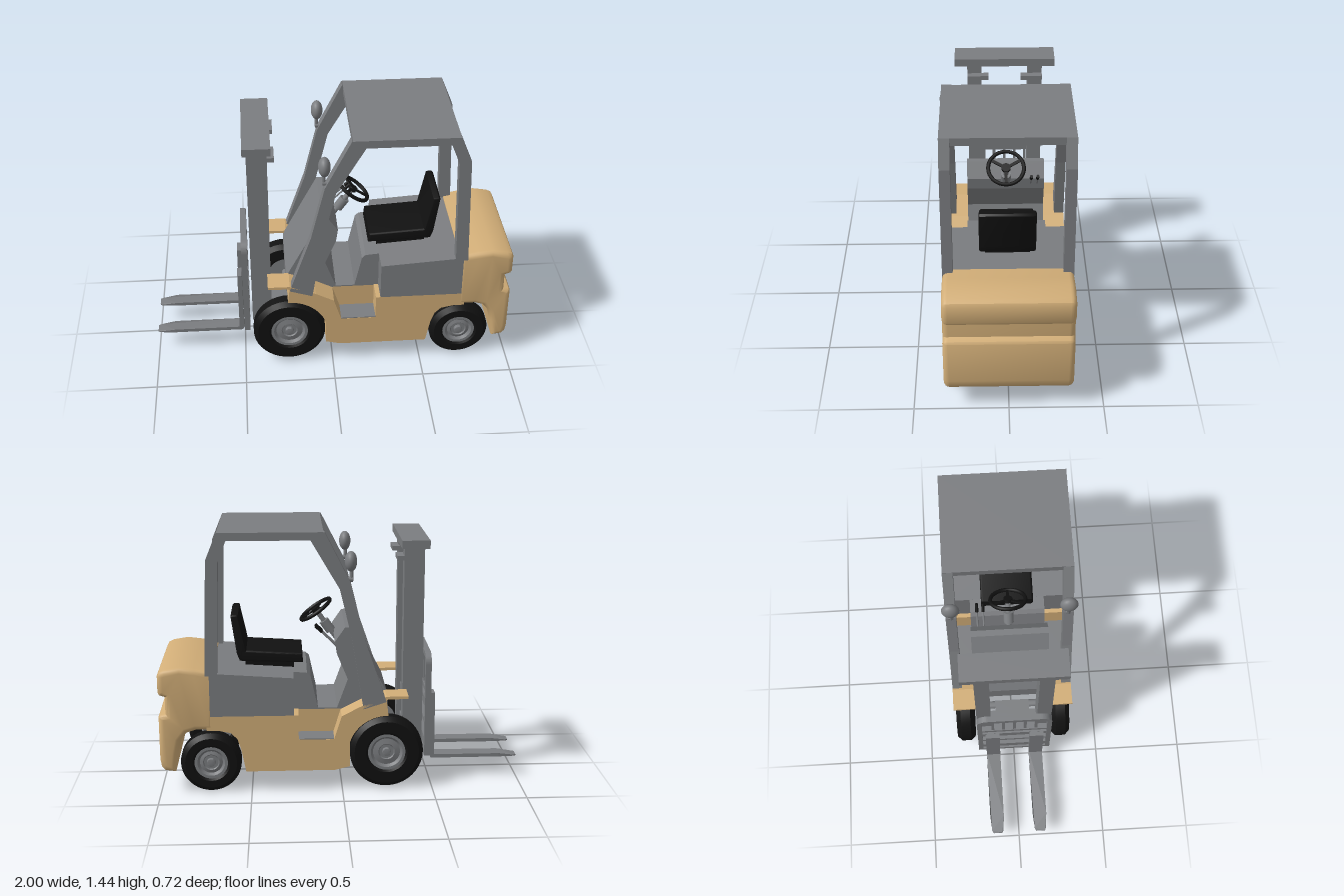
import * as THREE from 'three';
import { toCreasedNormals } from 'three/addons/utils/BufferGeometryUtils.js';

const mat = (name, color) => {
  const m = new THREE.MeshStandardMaterial({ color });
  m.name = name;
  return m;
};

export function createModel() {
  const tan = mat('tan paint', 0xd2ae78);
  const grey = mat('grey metal', 0x7b7d80);
  const black = mat('black rubber', 0x111111);
  const root = new THREE.Group();
  root.name = 'forklift';

  const add = (name, geo, material) => {
    const m = new THREE.Mesh(geo, material);
    m.name = name;
    root.add(m);
    return m;
  };
  // Box given by its extents
  const box = (name, material, x0, x1, y0, y1, z0, z1) => add(name,
    new THREE.BoxGeometry(x1 - x0, y1 - y0, z1 - z0)
      .translate((x0 + x1) / 2, (y0 + y1) / 2, (z0 + z1) / 2), material);
  // Side profile extruded across z, optionally with rounded sides
  const prism = (name, material, pts, z0, z1, bevel = 0) => {
    const shape = new THREE.Shape(pts.map(p => new THREE.Vector2(...p)));
    let g = new THREE.ExtrudeGeometry(shape, {
      depth: z1 - z0 - 2 * bevel, bevelEnabled: bevel > 0, bevelThickness: bevel,
      bevelSize: bevel, bevelOffset: -bevel, bevelSegments: 4,
    }).translate(0, 0, z0 + bevel);
    if (bevel) g = toCreasedNormals(g, 0.6);
    return add(name, g, material);
  };
  // Same, once on each side
  const sidePrism = (name, material, pts, z0, z1, bevel) => {
    prism(name + 'Left', material, pts, z0, z1, bevel);
    prism(name + 'Right', material, pts, -z1, -z0, bevel);
  };
  const rod = (name, material, a, b, r) => {
    const p = new THREE.Vector3(...a), q = new THREE.Vector3(...b);
    const m = add(name, new THREE.CylinderGeometry(r, r, p.distanceTo(q), 12), material);
    m.position.copy(p).lerp(q, 0.5);
    m.quaternion.setFromUnitVectors(new THREE.Vector3(0, 1, 0), q.sub(p).normalize());
    return m;
  };
  const arc = (cx, cy, r, a0, a1, n) => Array.from({ length: n + 1 }, (_, i) => {
    const a = a0 + (a1 - a0) * i / n;
    return [cx + r * Math.cos(a), cy + r * Math.sin(a)];
  });

  // Chassis with the step cut out and half of the rear wheel arch
  prism('chassis', tan, [[-0.04, 0.14], [0.04, 0.12], [0.53, 0.12], [0.555, 0.25], [0.575, 0.31],
    [0.61, 0.345], [0.68, 0.36], [0.74, 0.36], [0.74, 0.44], [0.24, 0.44], [0.24, 0.3],
    [0.04, 0.3], [-0.04, 0.3]], -0.338, 0.338);
  box('floorBlock', tan, -0.04, 0.25, 0.29, 0.435, -0.215, 0.215);
  box('floorMat', grey, -0.04, 0.25, 0.435, 0.442, -0.215, 0.215);

  // Rear counterweight with grooved back
  prism('counterweight', tan, [[0.7, 0.36], [0.8, 0.36], [0.85, 0.345], [0.885, 0.3], [0.9, 0.23],
    [0.915, 0.12], [0.975, 0.13], [0.993, 0.15], [1, 0.19], [1, 0.435], [0.992, 0.447], [0.962, 0.455],
    [0.962, 0.55], [0.992, 0.56], [1, 0.575], [1, 0.67], [0.99, 0.69], [0.965, 0.703], [0.88, 0.717],
    [0.8, 0.707], [0.7, 0.688]], -0.34, 0.34, 0.03);

  // Front fenders, steps
  sidePrism('fenderSide', tan, [...arc(-0.245, 0.215, 0.215, 1.6, 0, 12), [-0.03, 0.14], [0.04, 0.14],
    [0.04, 0.3], [0, 0.425], [-0.1, 0.475], [-0.24, 0.527]], 0.21, 0.339);
  sidePrism('fenderTop', tan, [[-0.36, 0.526], [-0.25, 0.524], [-0.1, 0.468], [-0.005, 0.42], [0.036, 0.3],
    [0.046, 0.3], [0.005, 0.432], [-0.095, 0.484], [-0.24, 0.54], [-0.36, 0.541]], 0.21, 0.34);
  for (const s of [-1, 1])
    box('stepPlate', grey, 0.046, 0.24, 0.298, 0.305, s > 0 ? 0.215 : -0.337, s > 0 ? 0.337 : -0.215);

  // Dashboard cowl
  prism('cowl', grey, [[-0.255, 0.42], [-0.255, 0.52], [-0.055, 0.9], [-0.02, 0.9], [0.035, 0.82],
    [0.025, 0.75], [-0.035, 0.605], [0.025, 0.44], [-0.03, 0.42]], -0.215, 0.215);

  // Engine box under the seat
  prism('engineBox', grey, [[0.265, 0.44], [0.74, 0.44], [0.74, 0.685], [0.265, 0.652]], -0.338, 0.338);
  prism('engineBoxFront', grey, [[0.13, 0.44], [0.27, 0.44], [0.27, 0.652], [0.19, 0.645], [0.17, 0.625]],
    -0.215, 0.215);

  // Seat
  box('seatBase', black, 0.26, 0.53, 0.65, 0.69, -0.12, 0.12);
  prism('seatCushion', black, [[0.21, 0.685], [0.55, 0.695], [0.56, 0.76], [0.215, 0.738]], -0.15, 0.15, 0.012);
  prism('seatBack', black, [[0.51, 0.7], [0.56, 0.7], [0.575, 0.74], [0.605, 0.95], [0.595, 0.96],
    [0.565, 0.958]], -0.15, 0.15, 0.01);

  // Overhead guard
  box('roof', grey, 0.1, 0.66, 1.403, 1.446, -0.34, 0.34);
  sidePrism('frontPillar', grey, [[-0.24, 0.51], [-0.12, 0.86], [-0.045, 1.17], [0.095, 1.446],
    [0.17, 1.405], [0.015, 1.14], [-0.05, 0.87], [-0.115, 0.47]], 0.285, 0.34);
  sidePrism('rearPillar', grey, [[0.66, 1.446], [0.72, 1.3], [0.743, 0.67], [0.675, 0.67],
    [0.656, 1.29], [0.61, 1.405]], 0.285, 0.34);

  // Lamps on the front pillars
  for (const s of [-1, 1]) {
    const lamp = add('lamp', new THREE.SphereGeometry(1, 20, 14), grey);
    lamp.scale.set(0.033, 0.055, 0.048);
    lamp.position.set(-0.045, 1.285, s * 0.31);
    rod('lampPost', grey, [-0.048, 1.18, s * 0.31], [-0.048, 1.25, s * 0.31], 0.01);
    rod('lampArm', grey, [-0.055, 1.188, s * 0.31], [0.015, 1.188, s * 0.31], 0.014);
  }

  // Steering wheel, column and levers
  const wheel = new THREE.Group();
  wheel.name = 'steeringWheel';
  const part = (name, geo) => {
    const m = new THREE.Mesh(geo, black);
    m.name = name;
    wheel.add(m);
  };
  part('rim', new THREE.TorusGeometry(0.098, 0.011, 8, 32).rotateX(Math.PI / 2));
  part('hub', new THREE.CylinderGeometry(0.025, 0.025, 0.02, 16));
  for (let i = 0; i < 3; i++)
    part('spoke', new THREE.BoxGeometry(0.09, 0.008, 0.016).translate(0.05, 0, 0).rotateY(i * Math.PI * 2 / 3));
  wheel.position.set(0.135, 0.952, 0);
  wheel.rotation.z = -0.61;
  root.add(wheel);
  rod('steeringColumn', grey, [0.0, 0.76, 0], [0.13, 0.945, 0], 0.014);
  rod('columnCollar', grey, [0.05, 0.83, 0], [0.09, 0.887, 0], 0.028);
  for (const z of [-0.175, -0.14]) {
    rod('leverRod', grey, [0.01, 0.77, z], [0.12, 0.88, z], 0.005);
    rod('leverKnob', black, [0.105, 0.865, z], [0.14, 0.9, z], 0.009);
  }

  // Mast
  for (const s of [-1, 1]) {
    const [a, b] = s > 0 ? [0.13, 0.21] : [-0.21, -0.13];
    box('mastRail', grey, -0.45, -0.34, 0.22, 1.345, a, b);
    const [c, d] = s > 0 ? [0.09, 0.21] : [-0.21, -0.09];
    box('mastBracket', grey, -0.345, -0.302, 1.265, 1.29, c, d);
  }
  box('mastTop', grey, -0.47, -0.32, 1.342, 1.386, -0.28, 0.28);
  for (const y of [0.24, 0.42]) box('mastCrossbar', grey, -0.42, -0.36, y, y + 0.06, -0.14, 0.14);
  box('mastMount', grey, -0.35, -0.24, 0.24, 0.28, -0.1, 0.1);

  // Load backrest: rounded frame with bars
  const frame = (w, y0, y1, r, P) => {
    const s = new P();
    s.moveTo(-w, y0).lineTo(w, y0).lineTo(w, y1 - r).absarc(w - r, y1 - r, r, 0, Math.PI / 2);
    s.lineTo(-w + r, y1).absarc(-w + r, y1 - r, r, Math.PI / 2, Math.PI).lineTo(-w, y0);
    return s;
  };
  const rest = frame(0.21, 0.145, 0.74, 0.06, THREE.Shape);
  rest.holes.push(frame(0.183, 0.17, 0.713, 0.04, THREE.Path));
  add('backrestFrame', new THREE.ExtrudeGeometry(rest, { depth: 0.033, bevelEnabled: false, curveSegments: 6 })
    .rotateY(Math.PI / 2).translate(-0.5, 0, 0), grey);
  for (const [y, h] of [[0.2, 0.05], [0.33, 0.025], [0.43, 0.05], [0.52, 0.025]])
    box('carriageBar', grey, -0.497, -0.468, y, y + h, -0.19, 0.19);
  for (let i = -2; i <= 2; i++)
    box('backrestBar', grey, -0.492, -0.474, 0.53, 0.72, i * 0.061 - 0.008, i * 0.061 + 0.008);

  // Forks: tapered tines and upright shanks
  for (const s of [-1, 1]) {
    const tine = new THREE.Shape([[-1, -0.025], [-0.985, -0.033], [-0.9, -0.04], [-0.51, -0.04],
      [-0.51, 0.04], [-0.9, 0.04], [-0.985, 0.033], [-1, 0.025]].map(p => new THREE.Vector2(...p)));
    const g = new THREE.ExtrudeGeometry(tine, { depth: 0.02, bevelEnabled: false })
      .rotateX(-Math.PI / 2).translate(0, 0.115, s * 0.125);
    const p = g.attributes.position;
    for (let i = 0; i < p.count; i++)
      if (p.getX(i) < -0.95 && p.getY(i) > 0.13) p.setY(i, 0.122);
    g.computeVertexNormals();
    add('forkTine', g, grey);
    prism('forkShank', grey, [[-0.53, 0.125], [-0.515, 0.115], [-0.503, 0.13], [-0.503, 0.5], [-0.528, 0.5]],
      s * 0.125 - 0.04, s * 0.125 + 0.04);
  }

  // Wheels: tyre, dished rim and hub cap, joined by axles
  const lathe = pts => toCreasedNormals(new THREE.LatheGeometry(
    pts.map(p => new THREE.Vector2(...p)), 40).rotateX(Math.PI / 2), 0.5);
  for (const [x, y, R, r, z] of [[-0.245, 0.213, 0.203, 0.1, 0.278], [0.722, 0.168, 0.167, 0.088, 0.278]]) {
    const w = 0.053;
    for (const s of [-1, 1]) {
      const tyre = lathe([[r, -w + 0.012], [r + 0.015, -w], [R - 0.025, -w], [R, -w + 0.025],
        [R, w - 0.025], [R - 0.025, w], [r + 0.015, w], [r, w - 0.012]]);
      const rim = lathe([[0, -0.03], [r, -0.03], [r + 0.004, 0.044], [r - 0.012, 0.044], [r - 0.025, 0.03],
        [0.045, 0.036], [0.04, 0.03], [0.024, 0.03], [0.022, 0.05], [0, 0.054]]);
      for (const [n, g, m] of [['tyre', tyre, black], ['rim', rim, grey]]) {
        const o = add(n, g, m);
        o.position.set(x, y, s * z);
        if (s < 0) o.rotation.y = Math.PI;
      }
    }
    rod('axle', grey, [x, y, -z], [x, y, z], 0.022);
  }
  return root;
}
